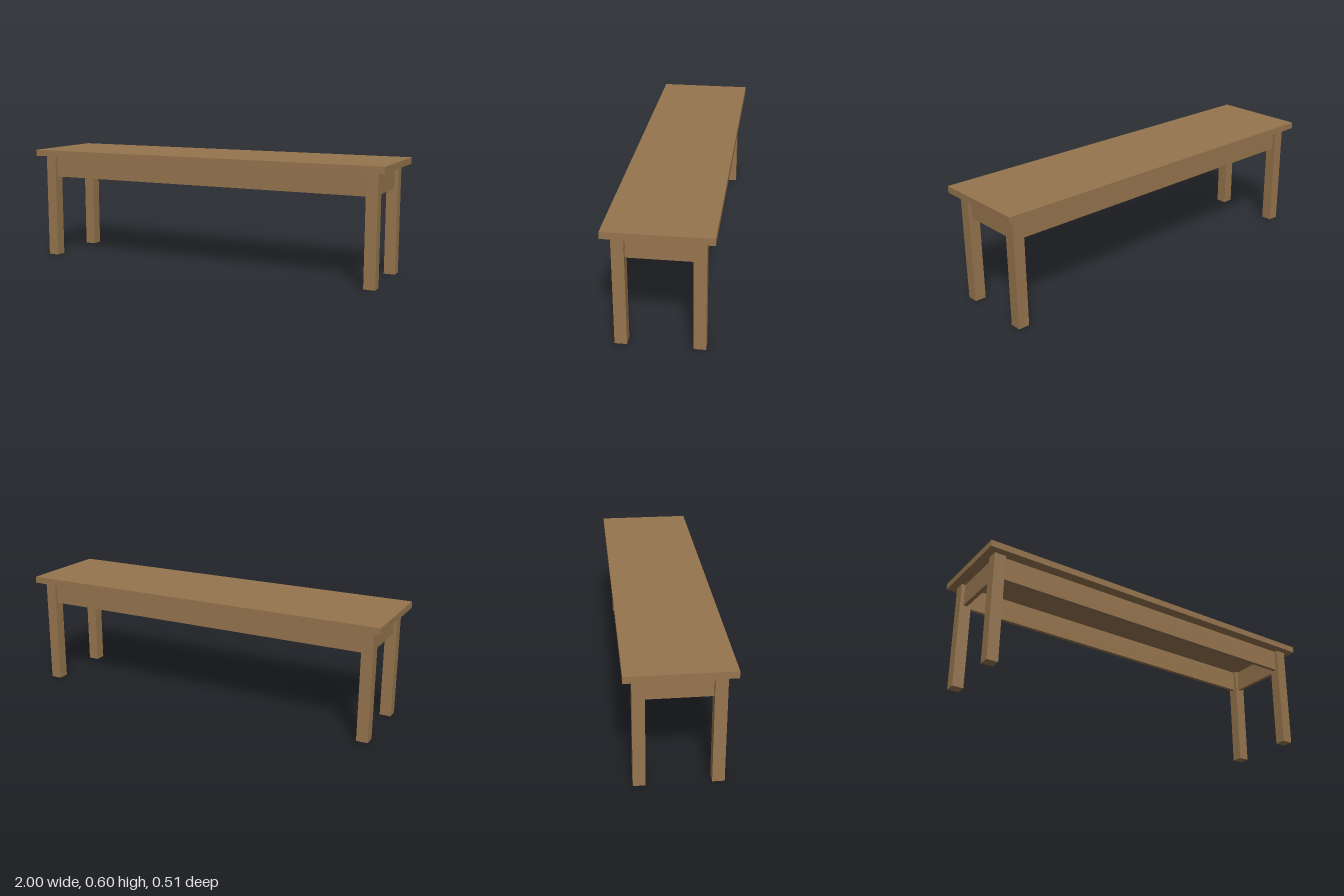
import * as THREE from 'three';

export function createModel() {
  const bench = new THREE.Group();
  bench.name = 'bench';
  const wood = new THREE.MeshStandardMaterial({ color: 0x96754e });
  wood.name = 'wood';

  const addBox = (name, size, position) => {
    const mesh = new THREE.Mesh(new THREE.BoxGeometry(...size), wood);
    mesh.name = name;
    mesh.position.set(...position);
    bench.add(mesh);
  };

  const height = 0.602, seatThickness = 0.034;
  const legHeight = height - seatThickness;
  const leg = 0.059, legX = 0.93, legZ = 0.1835;
  const apronHeight = 0.119, apronThickness = 0.021;
  const apronY = legHeight - apronHeight / 2;

  // Seat board
  addBox('seat', [2, seatThickness, 0.506], [0, height - seatThickness / 2, 0]);

  // Square legs
  for (const [sideX, s] of [['Left', 1], ['Right', -1]]) {
    for (const [sideZ, t] of [['front', 1], ['back', -1]]) {
      addBox(`${sideZ}${sideX}Leg`, [leg, legHeight, leg], [s * legX, legHeight / 2, t * legZ]);
    }
  }

  // Aprons set between the legs, centred on their thickness
  for (const [name, t] of [['frontApron', 1], ['backApron', -1]]) {
    addBox(name, [2 * legX - leg, apronHeight, apronThickness], [0, apronY, t * legZ]);
  }
  for (const [name, s] of [['leftApron', 1], ['rightApron', -1]]) {
    addBox(name, [apronThickness, apronHeight, 2 * legZ - leg], [s * legX, apronY, 0]);
  }

  return bench;
}
